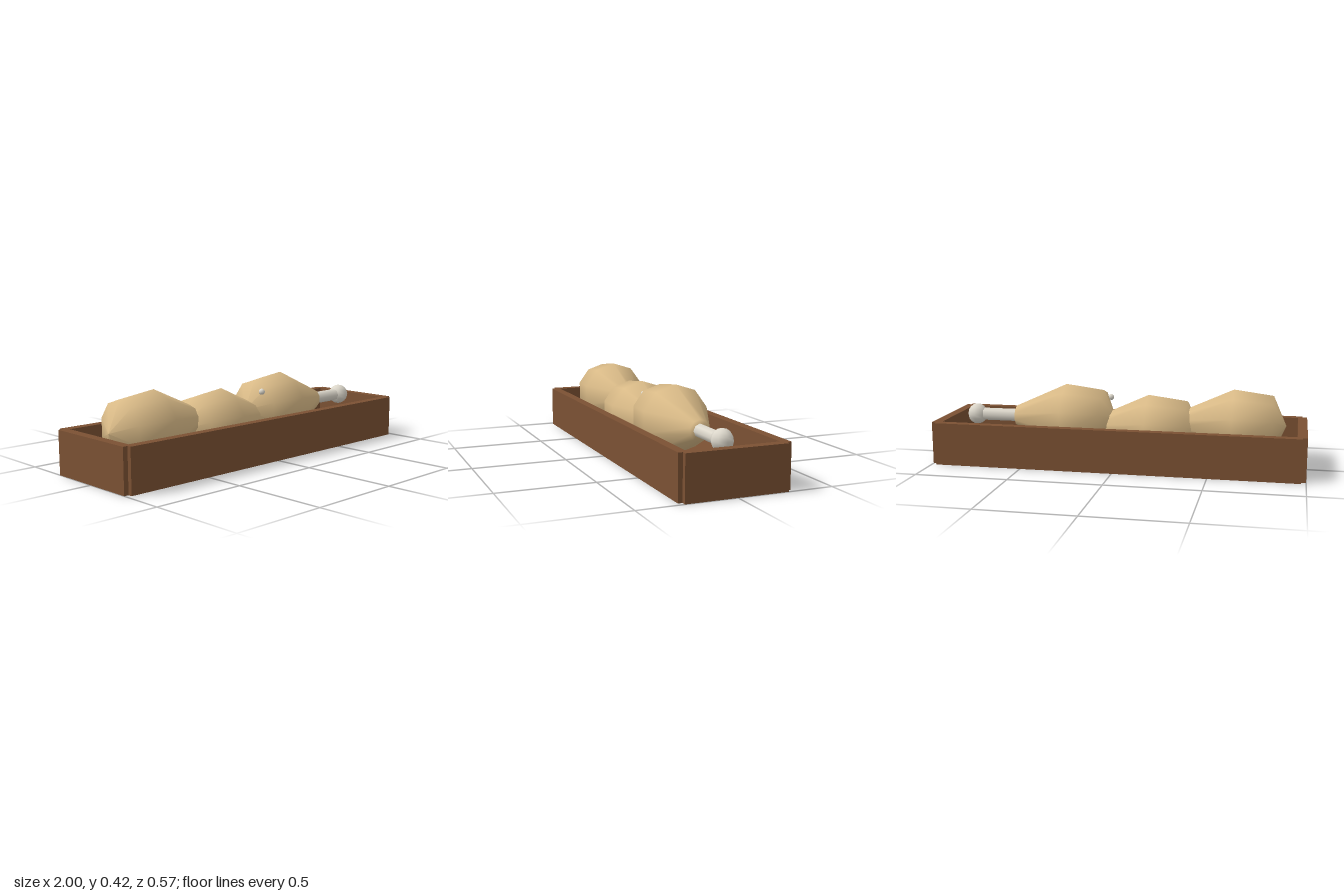
import * as THREE from 'three';

export function createModel() {
  const model = new THREE.Group();
  const wood = new THREE.MeshStandardMaterial({ name: 'brown wood', color: 0x7b5133 });
  const tan = new THREE.MeshStandardMaterial({ name: 'golden tan', color: 0xd9ba87 });
  const ivory = new THREE.MeshStandardMaterial({ name: 'bone white', color: 0xdcd7cb });

  function add(parent, name, geometry, material, x, y, z) {
    const mesh = new THREE.Mesh(geometry, material);
    mesh.name = name;
    mesh.position.set(x, y, z);
    parent.add(mesh);
    return mesh;
  }

  // Open wooden tray; the long walls stand slightly proud of the end walls
  const tray = new THREE.Group();
  tray.name = 'tray';
  model.add(tray);
  add(tray, 'trayFloor', new THREE.BoxGeometry(1.92, 0.09, 0.5), wood, 0, 0.045, 0);
  for (const s of [-1, 1]) {
    add(tray, 'longWall', new THREE.BoxGeometry(1.95, 0.23, 0.047), wood, 0, 0.115, s * 0.2635);
    add(tray, 'endWall', new THREE.BoxGeometry(0.05, 0.23, 0.528), wood, s * 0.975, 0.115, 0);
  }

  // Drumstick pieces: a turned meat body, a bone and a round knob, lying along x
  const profile = [[0, 0], [0.16, 0.07], [0.187, 0.28], [0.055, 0.57], [0, 0.57]]
    .map(([r, h]) => new THREE.Vector2(r, h));
  const meat = new THREE.LatheGeometry(profile, 10, -Math.PI / 2).rotateZ(-Math.PI / 2);
  const bone = new THREE.CylinderGeometry(0.035, 0.035, 0.25, 8, 1, false, -Math.PI / 2).rotateZ(-Math.PI / 2);
  const knob = new THREE.SphereGeometry(0.057, 8, 8);

  for (const [x, y] of [[-0.89, 0.233], [-0.43, 0.188], [0.03, 0.233]]) {
    const drumstick = new THREE.Group();
    drumstick.name = 'drumstick';
    drumstick.position.set(x, y, 0);
    add(drumstick, 'meat', meat, tan, 0, 0, 0);
    add(drumstick, 'bone', bone, ivory, 0.67, 0, 0);
    add(drumstick, 'boneKnob', knob, ivory, 0.805, 0, 0);
    model.add(drumstick);
  }

  // Small bead resting on the last piece
  add(model, 'bead', new THREE.SphereGeometry(0.017, 8, 6), ivory, 0.077, 0.34, 0.083);

  return model;
}
